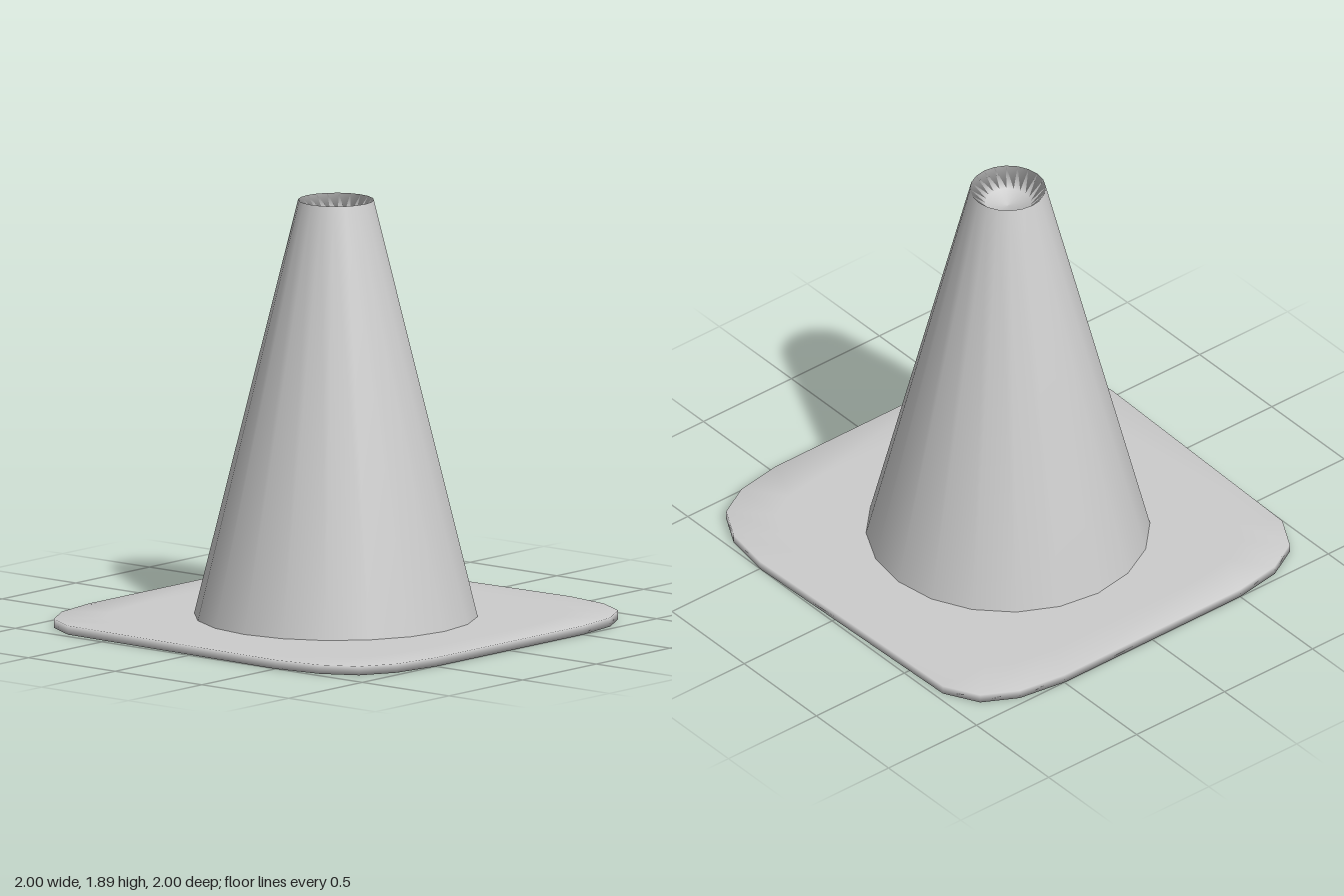
import * as THREE from 'three';

const material = new THREE.MeshStandardMaterial({ color: 0xcccccc });

// Closed smooth slab: rings of one outline, scaled and stacked, with capped ends
function slab(outline, rings) {
  const n = outline.length, pos = [], idx = [];
  for (const [s, y] of rings) for (const [x, z] of outline) pos.push(x * s, y, z * s);
  for (let r = 0; r < rings.length - 1; r++) {
    for (let i = 0; i < n; i++) {
      const a = r * n + i, b = r * n + (i + 1) % n;
      idx.push(a, b, b + n, a, b + n, a + n);
    }
  }
  const last = (rings.length - 1) * n, low = rings.length * n, high = low + 1;
  pos.push(0, rings[0][1], 0, 0, rings[rings.length - 1][1], 0);
  for (let i = 0; i < n; i++) {
    const j = (i + 1) % n;
    idx.push(low, j, i, high, last + i, last + j);
  }
  const g = new THREE.BufferGeometry();
  g.setAttribute('position', new THREE.Float32BufferAttribute(pos, 3));
  g.setIndex(idx);
  g.computeVertexNormals();
  return g;
}

export function createModel() {
  const group = new THREE.Group();

  // Square foot plate with rounded corners; the sides taper slightly to the back
  const half = [[0.5, 1], [0.725, 0.965], [0.88, 0.88], [0.965, 0.725], [1, 0.5],
    [0.965, -0.725], [0.88, -0.88], [0.725, -0.965], [0.5, -1]];
  const outline = [...half, ...half.map(([x, z]) => [-x, z]).reverse()];
  const base = new THREE.Mesh(
    slab(outline, [[0.82, 0], [1, 0], [1, 0.04], [0.82, 0.04]]), material);
  base.name = 'base';

  // Tapered body with a shallow dished tip
  const profile = [[0.625, 0.04], [0.167, 1.895], [0.1, 1.82], [0, 1.8]]
    .map(([r, y]) => new THREE.Vector2(r, y));
  const cone = new THREE.Mesh(new THREE.LatheGeometry(profile, 20), material);
  cone.name = 'cone';

  group.add(base, cone);
  return group;
}
